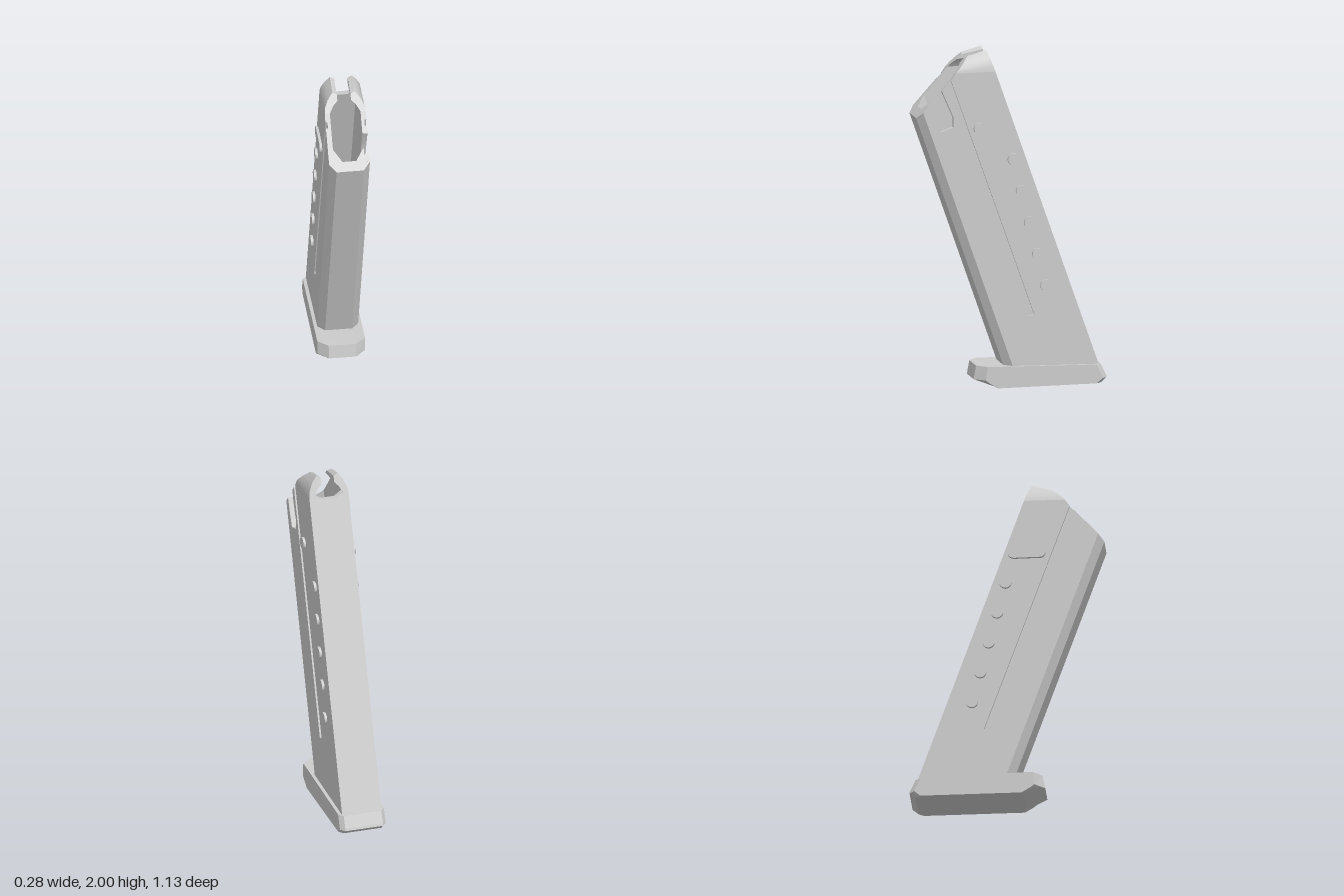
import * as THREE from 'three';
import { toCreasedNormals } from 'three/addons/utils/BufferGeometryUtils.js';

const LEAN = 0.35;                       // forward lean: z gained per unit of height
const material = new THREE.MeshStandardMaterial({ color: 0xcccccc });
const lerp = THREE.MathUtils.lerp;

function part(name, geometry) {
  const mesh = new THREE.Mesh(geometry, material);
  mesh.name = name;
  return mesh;
}

// Extrudes an outline, then moves each vertex by a rule (t runs 0..1 through the depth)
function extrude(points, rule, depth = 1) {
  const shape = new THREE.Shape(points.map(([x, y]) => new THREE.Vector2(x, y)));
  const geo = new THREE.ExtrudeGeometry(shape, { depth, bevelEnabled: false });
  if (rule) {
    const p = geo.attributes.position;
    for (let i = 0; i < p.count; i++) p.setXYZ(i, ...rule(p.getX(i), p.getY(i), p.getZ(i)));
  }
  geo.computeVertexNormals();
  return toCreasedNormals(geo, 0.6);
}

// Joins rings of equal length with walls and closes both ends
function loft(rings) {
  const n = rings[0].length, index = [];
  const top = (rings.length - 1) * n;
  for (let r = 0; r < rings.length - 1; r++) {
    for (let i = 0; i < n; i++) {
      const a = r * n + i, b = r * n + (i + 1) % n;
      index.push(a, b, b + n, a, b + n, a + n);
    }
  }
  for (let i = 1; i < n - 1; i++) index.push(0, i + 1, i, top, top + i, top + i + 1);
  const geo = new THREE.BufferGeometry();
  geo.setAttribute('position', new THREE.Float32BufferAttribute(rings.flat(2), 3));
  geo.setIndex(index);
  const flat = geo.toNonIndexed();
  flat.computeVertexNormals();
  return flat;
}

// Side wall outline in (z, y), optionally with the long groove and the catch notch
function sideOutline(groove, notch) {
  return [
    [-0.52, 0.1], [0.103, 1.88], [0.342, 1.88], [0.37, 1.84],
    ...(groove ? [[-0.13, 0.425], [-0.095, 0.415], [0.395, 1.813]] : []),
    ...(notch ? [[0.425, 1.78], [0.355, 1.62], [0.355, 1.56], [0.43, 1.535], [0.465, 1.6], [0.505, 1.692]] : []),
    [0.537, 1.657], [-0.008, 0.1],
  ];
}

function sideLayer(name, outline, x0, x1) {
  const geo = extrude(outline.map(([z, y]) => [-z, y]), null, x1 - x0);
  geo.rotateY(Math.PI / 2);
  geo.translate(x0, 0, 0);
  return part(name, geo);
}

// Raised round button; stretch pulls its front half forward
function button(side, z, y, stretch = 0) {
  const geo = new THREE.CylinderGeometry(0.035, 0.035, 0.03, 20);
  geo.rotateZ(Math.PI / 2);
  const p = geo.attributes.position;
  for (let i = 0; i < p.count; i++) {
    if (stretch && p.getZ(i) > 0.001) p.setZ(i, p.getZ(i) + stretch);
  }
  geo.translate(side * 0.12, y, z);
  return part('sideButton', geo);
}

export function createModel() {
  const model = new THREE.Group();
  model.name = 'magazine';

  // Base plate: chamfered ring at each level [y, front z, front chamfer, back z, back y]
  const levels = [
    [0, 0.1, 0.01, -0.53, 0],
    [0.03, 0.175, 0.035, -0.565, 0.03],
    [0.05, 0.225, 0.06, -0.56, 0.045],
    [0.13, 0.21, 0.055, -0.53, 0.112],
  ];
  model.add(part('basePlate', loft(levels.map(([y, zf, c, zb, yb]) => {
    const half = [[0.08, y, zf], [0.14, y, zf - c], [0.14, yb, zb + 0.03], [0.115, yb, zb]];
    return [...half, ...half.map(([x, h, z]) => [-x, h, z]).reverse()];
  }))));

  // Front wall: chamfered plan section swept up the lean to the sloping rim
  const plan = [[0.08, 0.003], [0.12, -0.043], [0.09, -0.043], [0.09, -0.122], [0.04, -0.052]];
  const frontPlan = [...plan, ...plan.map(([x, z]) => [-x, z]).reverse()];
  model.add(part('frontWall', extrude(frontPlan.map(([x, z]) => [x, -z]), (x, negZ, t) => {
    const y = lerp(0.1, (2.247 + 1.1 * negZ) / 1.385, t);
    return [x, y, -negZ + LEAN * y];
  })));

  // Back wall with a dipped top edge
  const backZ = (y) => LEAN * y - 0.555;
  model.add(part('backWall', extrude(
    [[-0.09, 0.1], [0.09, 0.1], [0.09, 1.89], [0.04, 1.86], [-0.04, 1.86], [-0.09, 1.89]],
    (x, y, t) => [x, y, backZ(y) + 0.035 * t])));

  // Side walls: solid inner layer, grooved outer layer; the notch is on the left only
  for (const side of [1, -1]) {
    const notch = side > 0;
    const name = notch ? 'left' : 'right';
    const span = (a, b) => (notch ? [a, b] : [-b, -a]);
    model.add(sideLayer(name + 'WallInner', sideOutline(false, notch), ...span(0.09, 0.108)));
    model.add(sideLayer(name + 'WallOuter', sideOutline(true, notch), ...span(0.108, 0.12)));

    // Feed lip curling inward, cut off at a slope in front
    const lip = [
      [0.12, 1.88], [0.115, 1.915], [0.095, 1.96], [0.065, 2], [0.04, 1.985],
      [0.04, 1.95], [0.065, 1.925], [0.085, 1.89], [0.09, 1.88],
    ];
    model.add(part(name + 'FeedLip', extrude(lip.map(([x, y]) => [side * x, y]), (x, y, t) => [
      x,
      y - 0.03 * t * (y - 1.88) / 0.12,
      lerp(backZ(y), 0.37 - (y - 1.84) * 0.69, t),
    ])));

    // Row of buttons along the back of the side
    for (let i = 0; i < 5; i++) model.add(button(side, -0.2 + i * 0.049, 0.595 + i * 0.19));
    model.add(notch ? button(side, 0.2, 1.545) : button(side, 0.045, 1.545, 0.15));
  }
  return model;
}
